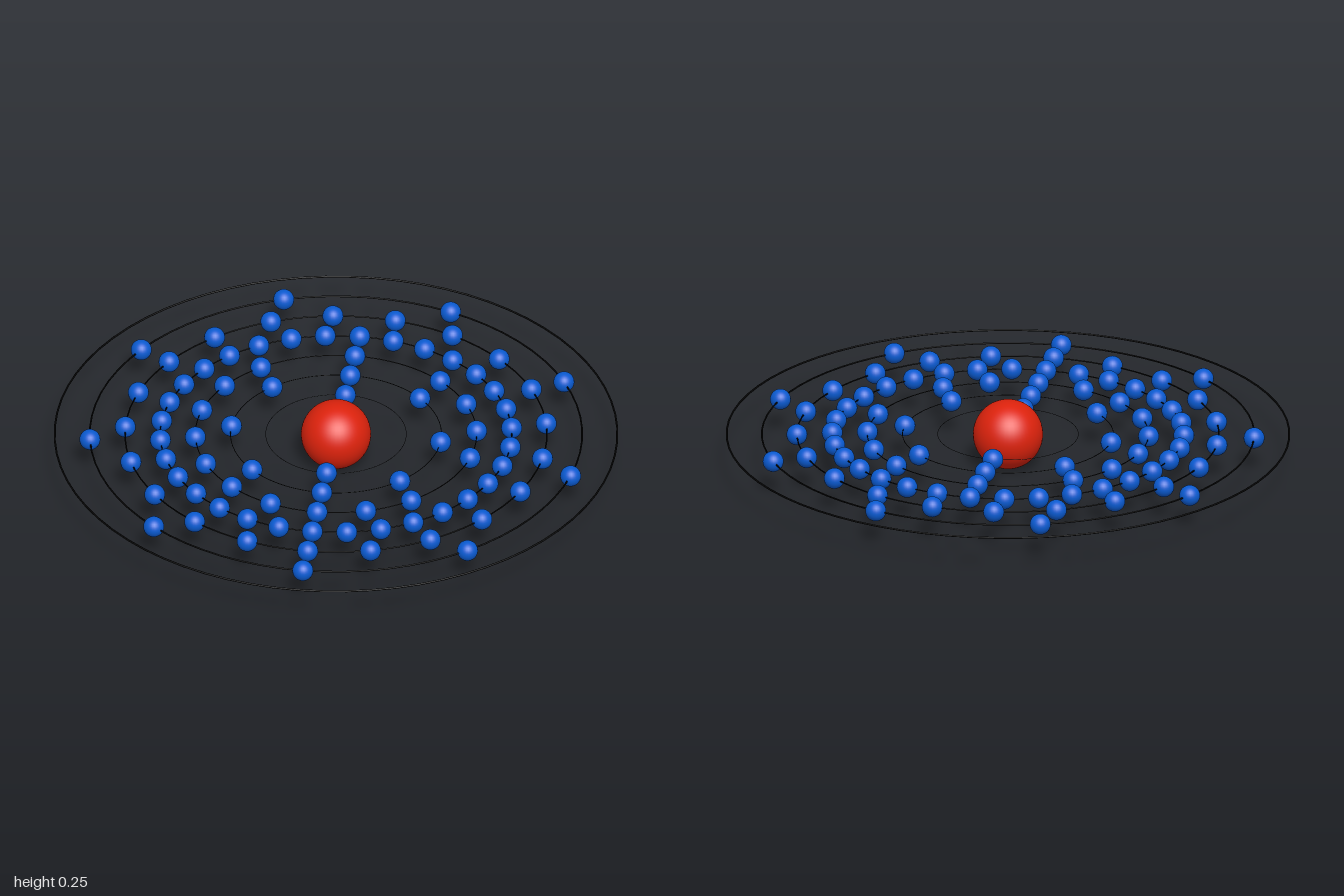
import * as THREE from 'three';

const CENTRE_Y = 0.127;
const STEP = 0.1245; // distance between neighbouring orbits

// Evenly spaced electrons per orbit, counted from the front (+z) towards +x; skip lists empty slots
const SHELLS = [
  { slots: 2 },
  { slots: 8 },
  { slots: 18, skip: [3, 8, 10] },
  { slots: 32 },
  { slots: 21 },
  { slots: 9 },
  { slots: 0 },
];

export function createModel() {
  const model = new THREE.Group();
  const red = new THREE.MeshStandardMaterial({ color: 0xdc220c });
  const blue = new THREE.MeshStandardMaterial({ color: 0x0a5ad0 });
  const black = new THREE.MeshStandardMaterial({ color: 0x050505 });

  // Central ball
  const nucleus = new THREE.Mesh(new THREE.SphereGeometry(0.124, 48, 32), red);
  nucleus.name = 'nucleus';
  nucleus.position.y = CENTRE_Y;
  model.add(nucleus);

  const ball = new THREE.SphereGeometry(0.037, 24, 16);

  SHELLS.forEach(({ slots, skip = [] }, i) => {
    const radius = STEP * (i + 2);
    const shell = new THREE.Group();
    shell.name = `shell${i + 1}`;
    shell.position.y = CENTRE_Y;
    model.add(shell);

    // Thin wire ring, thicker on the larger orbits
    const wire = 0.0035 * radius;
    const orbit = new THREE.Mesh(new THREE.TorusGeometry(radius, wire, 8, 72), black);
    orbit.name = 'orbit';
    orbit.rotation.x = Math.PI / 2;
    shell.add(orbit);

    // Small balls riding on the ring
    for (let k = 0; k < slots; k++) {
      if (skip.includes(k)) continue;
      const a = (k / slots) * Math.PI * 2;
      const electron = new THREE.Mesh(ball, blue);
      electron.name = 'electron';
      electron.position.set(radius * Math.sin(a), 0, radius * Math.cos(a));
      shell.add(electron);
    }
  });

  return model;
}
